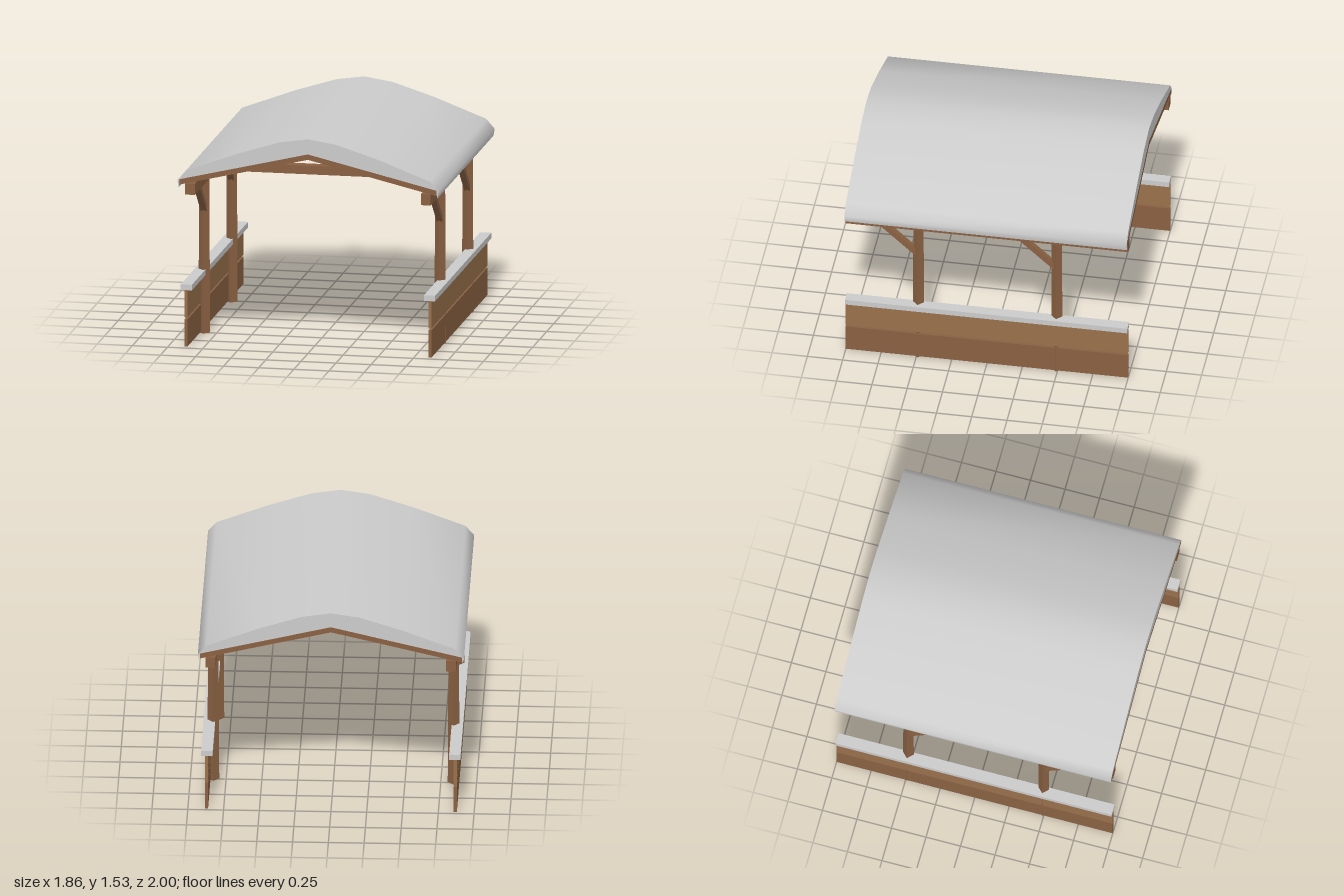
import * as THREE from 'three';
import { toCreasedNormals } from 'three/addons/utils/BufferGeometryUtils.js';

const LENGTH = 2;
const POST_X = 0.84;
const POST_Z = [0.49, -0.49];

const paint = (color, flat = true) => new THREE.MeshStandardMaterial({ color, flatShading: flat, side: THREE.DoubleSide });

function add(parent, name, geometry, material, x = 0, y = 0, z = 0) {
  const mesh = new THREE.Mesh(geometry, material);
  mesh.name = name;
  mesh.position.set(x, y, z);
  parent.add(mesh);
  return mesh;
}

// Extrudes a symmetric outline, given by the +x halves of its top and bottom edges (ridge to eave)
function extrudeSymmetric(top, bottom) {
  const mirror = (pts) => pts.map(([x, y]) => [-x, y]);
  const outline = [
    ...top,
    ...[...bottom].reverse(),
    ...mirror(bottom.slice(1)),
    ...mirror(top.slice(1)).reverse(),
  ];
  const shape = new THREE.Shape(outline.map(([x, y]) => new THREE.Vector2(x, y)));
  const geometry = new THREE.ExtrudeGeometry(shape, { depth: LENGTH, bevelEnabled: false });
  return geometry.translate(0, 0, -LENGTH / 2);
}

export function createModel() {
  const model = new THREE.Group();
  model.name = 'shelter';
  const wood = paint(0x8a6142);
  const lightWood = paint(0x98704b);
  const grey = paint(0xcccccc);
  const greySmooth = paint(0xcccccc, false);

  // Curved roof covering, rounded over at the eaves
  const covering = extrudeSymmetric(
    [[0, 1.535], [0.2, 1.505], [0.5, 1.41], [0.87, 1.27], [0.93, 1.2], [0.92, 1.15]],
    [[0, 1.427], [0.915, 1.208]],
  );
  add(model, 'roofCovering', toCreasedNormals(covering, 1.0), greySmooth);

  // Pitched timber deck under the covering
  const deck = extrudeSymmetric([[0, 1.427], [0.915, 1.208]], [[0, 1.388], [0.915, 1.17]]);
  add(model, 'roofDeck', deck, wood);

  // Tie beams across the posts
  for (const z of POST_Z) {
    add(model, 'tieBeam', new THREE.BoxGeometry(1.75, 0.062, 0.07), wood, 0, 1.204, z);
  }

  for (const side of [1, -1]) {
    const wall = new THREE.Group();
    wall.name = side > 0 ? 'leftSide' : 'rightSide';
    model.add(wall);

    // Eaves beam carrying the roof
    add(wall, 'eavesBeam', new THREE.BoxGeometry(0.07, 0.08, LENGTH), wood, side * POST_X, 1.14, 0);

    // Low wall of two boards with a coping
    add(wall, 'lowerBoard', new THREE.BoxGeometry(0.022, 0.195, LENGTH), wood, side * 0.869, 0.108, 0);
    add(wall, 'upperBoard', new THREE.BoxGeometry(0.022, 0.195, LENGTH), lightWood, side * 0.869, 0.318, 0);
    add(wall, 'coping', new THREE.BoxGeometry(0.08, 0.04, LENGTH), grey, side * 0.866, 0.435, 0);

    for (const z of POST_Z) {
      // Tapered square post set diagonally
      add(wall, 'post', new THREE.CylinderGeometry(0.036, 0.042, 1.1, 4), wood, side * POST_X, 0.55, z);

      // Diagonal brace from post up to beam, leaning to the front
      const rise = 0.215, run = 0.235;
      const brace = add(wall, 'brace', new THREE.BoxGeometry(0.04, Math.hypot(rise, run), 0.04), wood,
        side * POST_X, 0.888 + rise / 2, z + 0.01 + run / 2);
      brace.rotation.x = Math.atan2(run, rise);
    }
  }
  return model;
}
